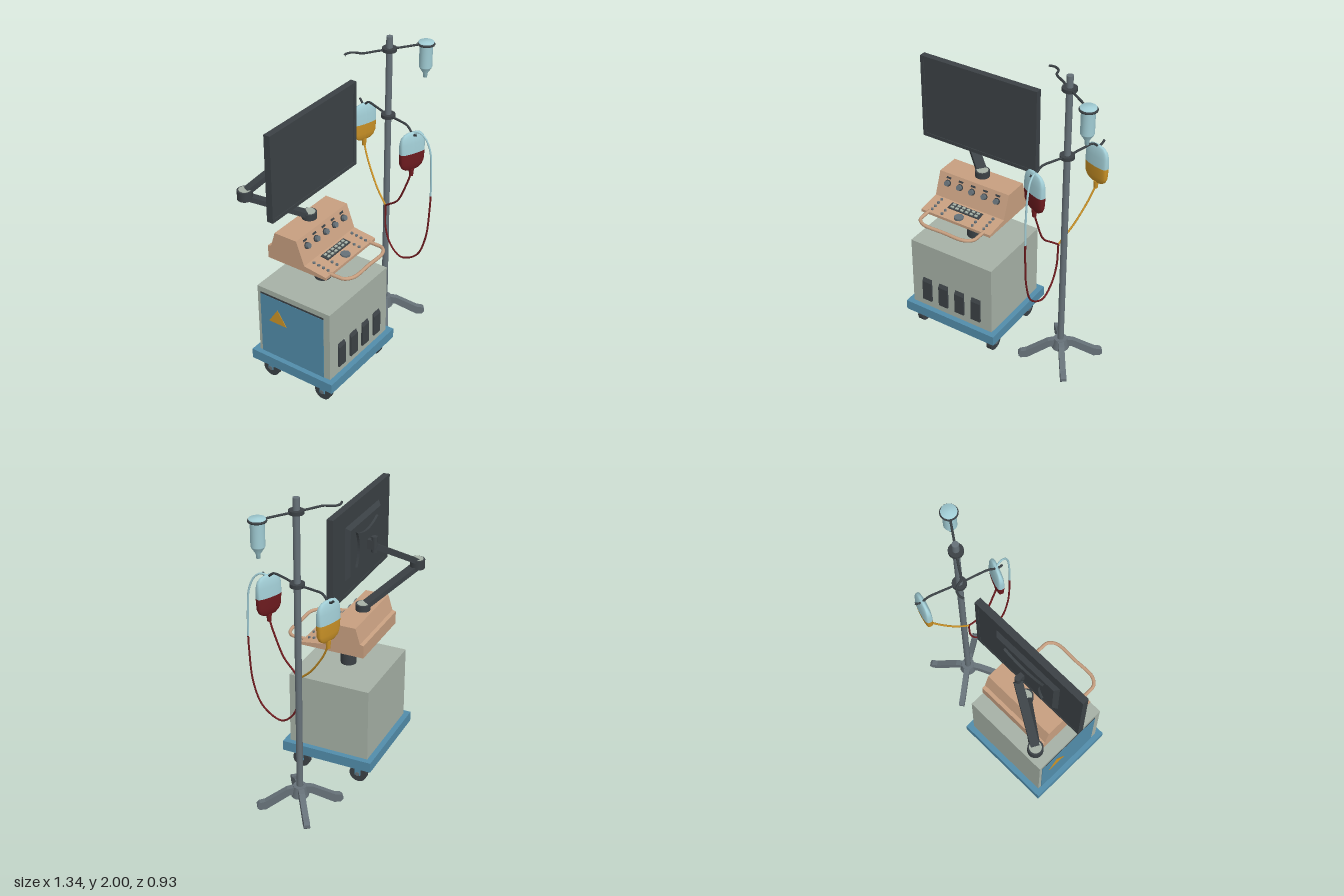
import * as THREE from 'three';

const mat = (name, color, side = THREE.FrontSide) => {
  const m = new THREE.MeshStandardMaterial({ color, side });
  m.name = name;
  return m;
};
const V = (x, y, z) => new THREE.Vector3(x, y, z);

export function createModel() {
  const M = {
    dark: mat('charcoal plastic', 0x3b4145),
    tan: mat('tan console', 0xc79f80),
    cabinet: mat('grey green cabinet', 0xa6b1a6, THREE.DoubleSide),
    blue: mat('steel blue', 0x528dab, THREE.DoubleSide),
    grey: mat('pole metal', 0x667178),
    clear: mat('pale blue plastic', 0xa2ced6, THREE.DoubleSide),
    red: mat('dark red fluid', 0x701c20, THREE.DoubleSide),
    amber: mat('amber fluid', 0xcd9427, THREE.DoubleSide),
  };
  const add = (parent, name, geo, m, x = 0, y = 0, z = 0) => {
    const mesh = new THREE.Mesh(geo, m);
    mesh.name = name;
    mesh.position.set(x, y, z);
    parent.add(mesh);
    return mesh;
  };
  const group = (parent, name, x = 0, y = 0, z = 0) => {
    const g = new THREE.Group();
    g.name = name;
    g.position.set(x, y, z);
    parent.add(g);
    return g;
  };
  const box = (w, h, d) => new THREE.BoxGeometry(w, h, d);
  const cyl = (r, h, n = 16, r2 = r) => new THREE.CylinderGeometry(r, r2, h, n);
  const shape = (pts) => new THREE.Shape(pts.map((p) => new THREE.Vector2(...p)));
  const rect = (w, h, x = 0, y = 0) => shape([[x - w, y - h], [x + w, y - h], [x + w, y + h], [x - w, y + h]]);
  const holed = (outer, ...holes) => {
    outer.holes.push(...holes);
    return outer;
  };
  const extrude = (s, d) => new THREE.ExtrudeGeometry(s, { depth: d, bevelEnabled: false }).translate(0, 0, -d / 2);
  // side profile in (z, y), given a width along x
  const extrudeX = (pts, w) => extrude(shape(pts), w).rotateY(-Math.PI / 2);
  const tube = (pts, r, n = 40) =>
    new THREE.TubeGeometry(new THREE.CatmullRomCurve3(pts.map((p) => V(...p))), n, r, 8);
  const lathe = (pts, n = 20) => new THREE.LatheGeometry(pts.map((p) => new THREE.Vector2(...p)), n);
  const beam = (parent, name, a, b, w, t, m) => {
    const mesh = add(parent, name, box(w, t, a.distanceTo(b)), m);
    mesh.position.copy(a).add(b).multiplyScalar(0.5);
    mesh.quaternion.setFromRotationMatrix(new THREE.Matrix4().lookAt(b, a, V(0, 1, 0)));
  };

  const model = new THREE.Group();
  model.name = 'medicalCartAndDripStand';

  // ---- Cart, turned on its vertical axis ----
  const cart = group(model, 'cart', -0.224, 0, 0.0525);
  cart.rotation.y = 0.401;
  add(cart, 'baseFrame', extrude(holed(rect(0.3335, 0.301), rect(0.292, 0.259)), 0.066).rotateX(-Math.PI / 2), M.blue, 0, 0.156, 0);

  // hollow cabinet of panels, open underneath
  const cab = group(cart, 'cabinet', 0, 0.427, 0);
  const ventX = [-0.184, -0.061, 0.061, 0.184];
  add(cab, 'frontPanel', new THREE.ShapeGeometry(holed(rect(0.298, 0.24), ...ventX.map((x) => rect(0.033, 0.083, x, -0.102)))),
    M.cabinet, 0, 0, 0.265);
  add(cab, 'backPanel', new THREE.PlaneGeometry(0.596, 0.48).rotateY(Math.PI), M.cabinet, 0, 0, -0.265);
  add(cab, 'topPanel', new THREE.PlaneGeometry(0.596, 0.53).rotateX(-Math.PI / 2), M.cabinet, 0, 0.24, 0);
  add(cab, 'leftPanel', new THREE.PlaneGeometry(0.53, 0.48).rotateY(Math.PI / 2), M.cabinet, 0.298, 0, 0);
  add(cab, 'rightPanel', new THREE.ShapeGeometry(holed(rect(0.265, 0.24), rect(0.232, 0.219, -0.011, -0.018)))
    .rotateY(-Math.PI / 2), M.cabinet, -0.298, 0, 0);
  for (const x of ventX)
    add(cart, 'vent', extrudeX([[0, 0], [0.012, 0], [0.012, 0.142], [-0.004, 0.17], [-0.004, 0]], 0.068), M.dark, x, 0.24, 0.265);

  // side door with a warning triangle
  add(cart, 'doorGap', box(0.004, 0.012, 0.464), M.dark, -0.298, 0.626, -0.011);
  add(cart, 'door', box(0.006, 0.43, 0.464), M.blue, -0.299, 0.405, -0.011);
  add(cart, 'warningTriangle', extrudeX([[-0.065, 0], [0.065, 0], [0, 0.1]], 0.004), M.amber, -0.303, 0.445, -0.115);

  // casters
  for (const x of [-0.267, 0.267]) for (const z of [-0.197, 0.197]) {
    const c = group(cart, 'caster', x, 0, z);
    add(c, 'wheel', cyl(0.057, 0.034, 20).rotateZ(Math.PI / 2), M.dark, 0, 0.057, 0);
    add(c, 'axle', cyl(0.014, 0.054, 12).rotateZ(Math.PI / 2), M.grey, 0, 0.057, 0);
    for (const s of [-1, 1])
      add(c, 'forkCheek', box(0.006, 0.075, 0.036), M.blue, s * 0.022, 0.085, 0);
    add(c, 'swivel', cyl(0.028, 0.016), M.blue, 0, 0.122, 0);
  }
  add(cart, 'column', cyl(0.05, 0.21, 20), M.dark, 0, 0.765, 0);

  // ---- Console ----
  const con = group(cart, 'console');
  add(con, 'consoleBody', extrudeX([[-0.208, 0.867], [0.208, 0.867], [0.208, 0.885], [0.055, 0.905],
    [0, 1.055], [-0.155, 1.055], [-0.185, 0.955], [-0.208, 0.95]], 0.504), M.tan);
  const deckY = (z) => 0.905 - (z - 0.055) * 0.131;
  for (let i = -2; i <= 2; i++) {
    add(con, 'knob', cyl(0.017, 0.026, 12), M.grey, i * 0.09, 1.0, 0.03).rotation.x = 1.2;
    add(con, 'knobBase', cyl(0.021, 0.008, 12), M.dark, i * 0.09, 0.998, 0.023).rotation.x = 1.2;
    add(con, 'indicator', box(0.032, 0.004, 0.012), M.dark, i * 0.09, 1.03, 0.01).rotation.x = 1.2;
  }
  const keypad = group(con, 'keypad', 0, deckY(0.098), 0.098);
  keypad.rotation.x = 0.13;
  add(keypad, 'keypadPlate', box(0.228, 0.01, 0.054), M.dark);
  for (let i = 0; i < 6; i++) for (const z of [-0.012, 0.012])
    add(keypad, 'key', box(0.02, 0.008, 0.014), M.cabinet, (i - 2.5) * 0.035, 0.007, z);
  add(con, 'trackball', cyl(0.031, 0.02, 8), M.grey, 0, deckY(0.167), 0.167);
  for (const s of [-1, 1])
    for (const [x, z] of [[0.19, 0.08], [0.19, 0.113], [0.19, 0.147], [0.19, 0.18], [0.112, 0.152], [0.112, 0.187]])
      add(con, 'button', cyl(0.009, 0.016, 10), M.grey, s * x, deckY(z), z);
  add(con, 'handle', tube([[-0.2, 0.882, 0.19], [-0.2, 0.882, 0.25], [-0.195, 0.882, 0.295], [-0.15, 0.882, 0.33],
    [0, 0.882, 0.333], [0.15, 0.882, 0.33], [0.195, 0.882, 0.295], [0.2, 0.882, 0.25], [0.2, 0.882, 0.19]], 0.011), M.tan);

  // ---- Monitor arm ----
  const arm = group(cart, 'monitorArm');
  const pivot = V(0, 1.074, -0.092), elbow = V(-0.301, 1.284, -0.322), mount = V(0, 1.49, -0.16);
  for (const [p, h] of [[pivot, 0.042], [elbow, 0.06]]) {
    add(arm, 'joint', cyl(0.046, h, 20), M.dark, p.x, p.y, p.z);
    add(arm, 'jointCap', cyl(0.036, 0.004, 20), M.cabinet, p.x, p.y + h / 2 + 0.002, p.z);
  }
  beam(arm, 'lowerArm', pivot, elbow.clone().setY(1.272), 0.062, 0.03, M.dark);
  beam(arm, 'upperArm', elbow.clone().setY(1.296), mount, 0.05, 0.034, M.dark);
  add(arm, 'mountPost', cyl(0.019, 0.1, 12), M.dark, mount.x, 1.5, mount.z);

  // ---- Monitor ----
  const mon = group(cart, 'monitor', 0.004, 1.515, -0.0615);
  add(mon, 'bezel', extrude(holed(rect(0.406, 0.275), rect(0.382, 0.252)), 0.042), M.dark);
  add(mon, 'screen', box(0.769, 0.508, 0.036), M.dark, 0, 0, -0.001);
  const back = box(0.484, 0.335, 0.024);
  const bp = back.attributes.position;
  for (let i = 0; i < bp.count; i++)
    if (bp.getZ(i) < 0) bp.setXY(i, bp.getX(i) * 0.9, bp.getY(i) * 0.86);
  back.computeVertexNormals();
  add(mon, 'backHousing', back, M.dark, 0, 0, -0.032);
  const wing = new THREE.Shape();
  wing.moveTo(-0.15, -0.11);
  wing.quadraticCurveTo(0, -0.04, 0.15, -0.11);
  wing.quadraticCurveTo(0.09, 0, 0.15, 0.11);
  wing.quadraticCurveTo(0, 0.04, -0.15, 0.11);
  wing.quadraticCurveTo(-0.09, 0, -0.15, -0.11);
  add(mon, 'mountPlate', extrude(wing, 0.016), M.dark, 0, 0, -0.051);
  add(mon, 'mountBlock', box(0.03, 0.06, 0.045), M.dark, 0, -0.015, -0.08);

  // ---- Drip stand ----
  const stand = group(model, 'dripStand', 0.387, 0, -0.183);
  add(stand, 'pole', cyl(0.02, 1.9, 16), M.grey, 0, 1.05, 0);
  add(stand, 'hub', cyl(0.042, 0.07, 16, 0.055), M.grey, 0, 0.105, 0);
  for (let i = 0; i < 4; i++) {
    const leg = group(stand, 'leg');
    leg.rotation.y = -0.55 + (i * Math.PI) / 2;
    add(leg, 'legBar', extrude(shape([[0.02, 0.085], [0.065, 0.085], [0.19, 0.012], [0.21, 0], [0.25, 0], [0.264, 0.015],
      [0.264, 0.035], [0.25, 0.05], [0.215, 0.056], [0.08, 0.13], [0.02, 0.14]]), 0.036), M.grey);
  }
  for (const y of [1.485, 1.918])
    add(stand, 'collar', cyl(0.044, 0.022, 16), M.dark, 0, y, 0);

  // upper hook rail with drip chamber
  add(stand, 'upperRail', tube([[-0.275, 1.918, -0.06], [-0.25, 1.918, -0.078], [-0.21, 1.918, -0.077], [-0.185, 1.918, -0.055],
    [-0.17, 1.918, -0.036], [-0.08, 1.918, -0.017], [0, 1.918, 0], [0.1, 1.918, 0.021], [0.185, 1.918, 0.038]], 0.007, 60), M.dark);
  const drip = group(stand, 'dripChamber', 0.23, 0, 0.047);
  add(drip, 'chamber', lathe([[0, 1.7], [0.012, 1.7], [0.013, 1.725], [0.038, 1.765], [0.04, 1.77], [0.04, 1.905],
    [0.047, 1.91], [0.047, 1.93], [0, 1.932]]), M.clear);
  add(drip, 'holderRing', new THREE.TorusGeometry(0.046, 0.008, 8, 24).rotateX(Math.PI / 2), M.dark, 0, 1.916, 0);

  // lower hook rail
  add(stand, 'lowerRail', tube([[-0.022, 1.485, -0.283], [-0.02, 1.462, -0.255], [-0.018, 1.462, -0.235], [-0.016, 1.493, -0.195],
    [-0.01, 1.493, -0.12], [0, 1.485, 0], [0.008, 1.493, 0.1], [0.014, 1.493, 0.185], [0.018, 1.465, 0.225],
    [0.021, 1.455, 0.25], [0.024, 1.47, 0.276]], 0.007, 60), M.dark);

  // fluid bags: pale upper half, coloured lower half, pillow-shaped
  const pillow = (pts) => {
    const geo = lathe(pts, 32);
    const p = geo.attributes.position;
    for (let i = 0; i < p.count; i++) {
      const x = p.getX(i), z = p.getZ(i), r = Math.hypot(x, z) || 1;
      const lens = Math.sqrt(Math.max(0.02, 1 - ((p.getY(i) - 1.345) / 0.13) ** 2));
      p.setZ(i, Math.sign(z) * Math.sqrt(Math.abs(z) / r) * 0.029 * lens);
    }
    geo.computeVertexNormals();
    return geo;
  };
  const bag = (name, x, z, turn, fluid) => {
    const g = group(model, name, x, 0, z);
    g.rotation.y = turn;
    add(g, 'bagTop', pillow([[0.086, 1.34], [0.086, 1.405], [0.078, 1.44], [0.058, 1.462], [0.03, 1.47], [0, 1.472]]), M.clear);
    add(g, 'bagFluid', pillow([[0.012, 1.215], [0.045, 1.222], [0.07, 1.24], [0.083, 1.27], [0.086, 1.34]]), fluid);
    add(g, 'bagOutlet', cyl(0.017, 0.05, 12, 0.012), fluid, 0, 1.2, 0);
  };
  bag('amberBag', 0.367, -0.417, 0.1, M.amber);
  bag('redBag', 0.405, 0.05, 0, M.red);

  // tubing meeting behind the pole, then looping back up to the red bag
  const tubes = group(model, 'tubing');
  const join = [0.365, 0.865, -0.158];
  add(tubes, 'amberTube', tube([[0.367, 1.19, -0.417], [0.364, 1.1, -0.37], [0.362, 0.96, -0.265], [0.362, 0.9, -0.2], join], 0.006), M.amber);
  add(tubes, 'redTube', tube([[0.405, 1.19, 0.05], [0.395, 1.1, 0.02], [0.375, 0.96, -0.04], [0.365, 0.9, -0.11], join], 0.006), M.red);
  add(tubes, 'loopTube', tube([join, [0.363, 0.7, -0.15], [0.375, 0.59, -0.105], [0.4, 0.535, -0.03], [0.44, 0.6, 0.085],
    [0.465, 0.75, 0.14], [0.475, 0.97, 0.158], [0.477, 1.06, 0.16]], 0.006, 50), M.red);
  add(tubes, 'returnTube', tube([[0.477, 1.06, 0.16], [0.475, 1.22, 0.158], [0.47, 1.37, 0.145], [0.45, 1.45, 0.115],
    [0.43, 1.475, 0.08], [0.41, 1.465, 0.052]], 0.006), M.clear);
  return model;
}
